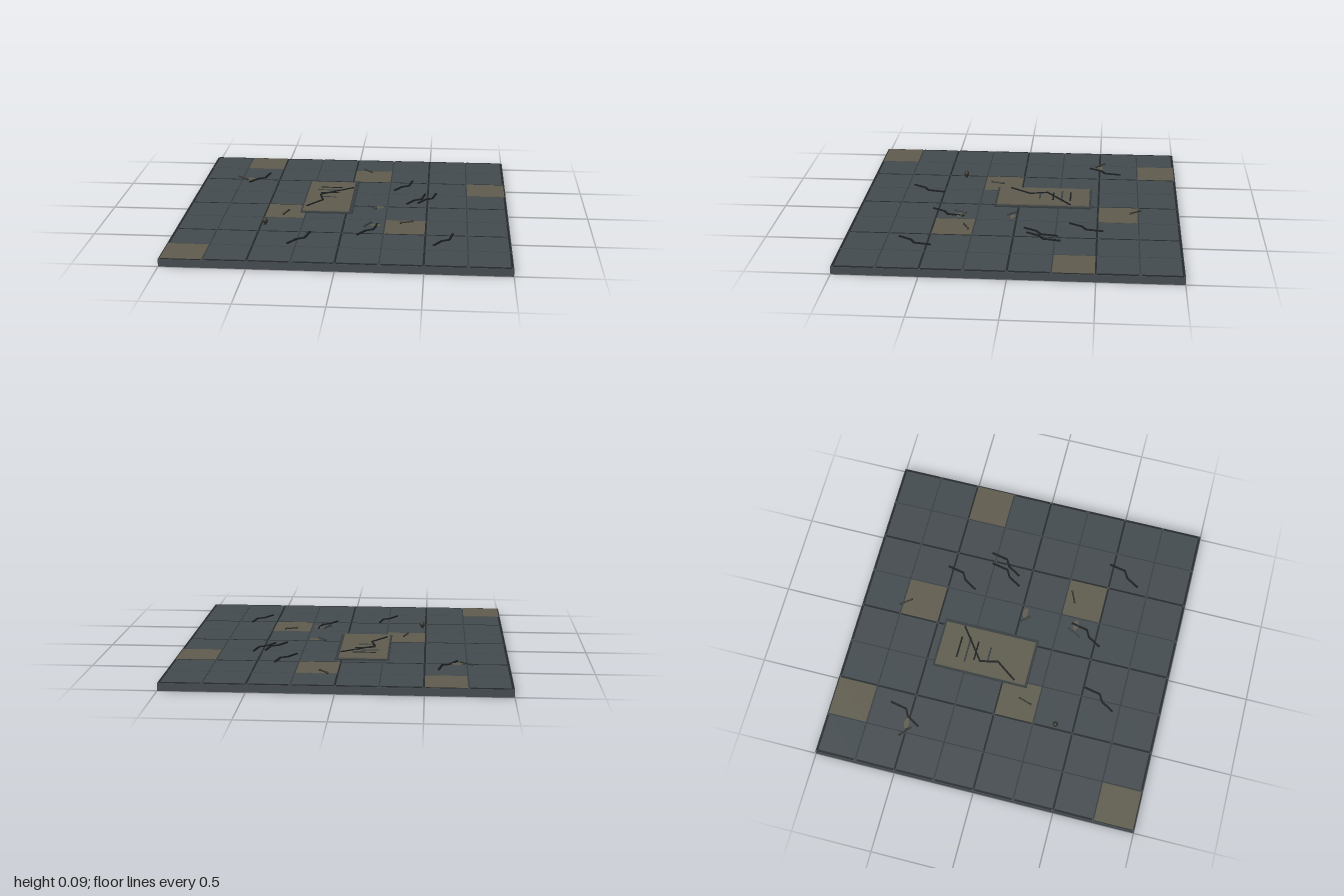
import * as THREE from 'three';

const paint = (name, color) => Object.assign(new THREE.MeshStandardMaterial({ color }), { name });

export function createModel() {
  const model = new THREE.Group();
  model.name = 'crackedFloor';
  const slate = paint('slate', 0x444b4f);
  const grout = paint('grout', 0x373d40);
  const seamDark = paint('seamDark', 0x25292b);
  const ochre = paint('ochreStone', 0x605d4f);
  const crackBlack = paint('crackBlack', 0x1b1e20);
  const boneDark = paint('darkBone', 0x34342d);
  const TOP = 0.048;

  const add = (name, geometry, material, x, y, z, parent = model) => {
    const mesh = new THREE.Mesh(geometry, material);
    mesh.name = name;
    mesh.position.set(x, y, z);
    parent.add(mesh);
    return mesh;
  };
  // Box whose lower face rests at y
  const block = (name, w, h, d, material, x, y, z, parent) =>
    add(name, new THREE.BoxGeometry(w, h, d), material, x, y + h / 2, z, parent);
  // Thin bars following a line of [x, z] points
  const strokes = (name, points, width, height, y) => {
    const group = new THREE.Group();
    group.name = name;
    for (let i = 1; i < points.length; i++) {
      const [ax, az] = points[i - 1], [bx, bz] = points[i];
      const dx = bx - ax, dz = bz - az;
      const bar = block('crackSegment', Math.hypot(dx, dz) + width * 0.6, height, width,
        crackBlack, (ax + bx) / 2, y, (az + bz) / 2, group);
      bar.rotation.y = -Math.atan2(dz, dx);
    }
    model.add(group);
  };

  // Foundation
  block('foundation', 2, 0.045, 2, slate, 0, 0, 0);
  block('groutBed', 1.98, 0.001, 1.98, grout, 0, 0.045, 0);

  // Eight by eight paving, with six worn ochre tiles
  const ochreCells = ['1,0', '4,1', '7,2', '2,4', '5,5', '0,7'];
  for (let i = 0; i < 8; i++) {
    for (let j = 0; j < 8; j++) {
      const worn = ochreCells.includes(`${i},${j}`);
      const size = worn ? 0.24 : 0.241;
      block(worn ? 'ochreTile' : 'slateTile', size, worn ? 0.004 : 0.003, size,
        worn ? ochre : slate, -0.872 + i * 0.249, 0.045, -0.872 + j * 0.249);
    }
  }

  // Dark seams between each group of four tiles and around the rim
  for (const at of [-0.99, -0.498, 0, 0.498, 0.99]) {
    for (let k = 0; k < 8; k++) {
      const mid = -0.872 + k * 0.249;
      block('seamAlongX', 0.232, 0.0035, 0.012, seamDark, mid, 0.045, at);
      block('seamAlongZ', 0.012, 0.0035, 0.232, seamDark, at, 0.045, mid);
    }
  }

  // Raised central slab on a stone surround
  block('slabSurround', 0.325, 0.01, 0.61, grout, -0.123, 0.046, -0.15);
  block('slab', 0.29, 0.017, 0.58, ochre, -0.128, 0.046, -0.15);

  // Engraved rules and the break across the slab
  [[-0.13, -0.32, 0.14, crackBlack], [-0.132, -0.265, 0.17, grout],
    [-0.13, -0.21, 0.125, crackBlack], [-0.137, -0.125, 0.105, grout]]
    .forEach(([x, z, length, material]) =>
      block('engravedRule', length, 0.003, 0.01, material, x, 0.063, z));
  strokes('slabCrack', [[0.01, -0.32], [-0.19, -0.17], [-0.165, -0.06], [-0.255, 0.065]],
    0.011, 0.005, 0.063);

  // Repeated jagged floor cracks
  const jag = [[0, 0], [0.045, -0.075], [0.09, -0.1], [0.11, -0.2]];
  [[-0.69, -0.435], [0.28, -0.33], [0.37, -0.06], [0.44, -0.08],
    [0.095, 0.53], [-0.3, 0.705], [0.55, 0.675]]
    .forEach(([x, z]) => strokes('floorCrack', jag.map(([a, b]) => [x + a, z + b]), 0.012, 0.007, TOP));

  // Scattered bones: a rod with a knob at each end
  const bone = (ax, az, bx, bz, material) => {
    const group = new THREE.Group();
    group.name = 'bone';
    const length = Math.hypot(bx - ax, bz - az);
    const shaft = add('boneShaft', new THREE.CylinderGeometry(0.005, 0.005, length, 8), material, 0, 0, 0, group);
    shaft.rotation.z = Math.PI / 2;
    for (const s of [-1, 1])
      add('boneEnd', new THREE.SphereGeometry(0.0075, 8, 6), material, s * length / 2, 0, 0, group);
    group.position.set((ax + bx) / 2, 0.056, (az + bz) / 2);
    group.rotation.y = -Math.atan2(bz - az, bx - ax);
    model.add(group);
  };
  bone(-0.36, 0.13, -0.383, 0.205, boneDark);
  bone(0.06, -0.76, 0.108, -0.7, boneDark);
  bone(0.345, 0.312, 0.415, 0.28, boneDark);
  bone(-0.775, -0.53, -0.712, -0.475, boneDark);
  bone(0.135, 0.01, 0.178, 0.055, grout);
  bone(0.127, 0.39, 0.163, 0.32, grout);

  // Flat ochre chips
  for (const [x, z] of [[-0.69, -0.505], [0.2, 0.025], [0.197, 0.355]]) {
    const chip = add('ochreChip', new THREE.CylinderGeometry(0.034, 0.034, 0.005, 14), ochre, x, TOP + 0.0025, z);
    chip.scale.z = 0.5;
  }

  // Small pebble standing above the paving
  const pebble = add('pebble', new THREE.SphereGeometry(0.017, 10, 8), boneDark, -0.474, 0.074, 0.385);
  pebble.scale.y = 1.15;
  add('pebbleFoot', new THREE.CylinderGeometry(0.006, 0.01, 0.012, 8), crackBlack, -0.474, 0.053, 0.385);

  return model;
}
